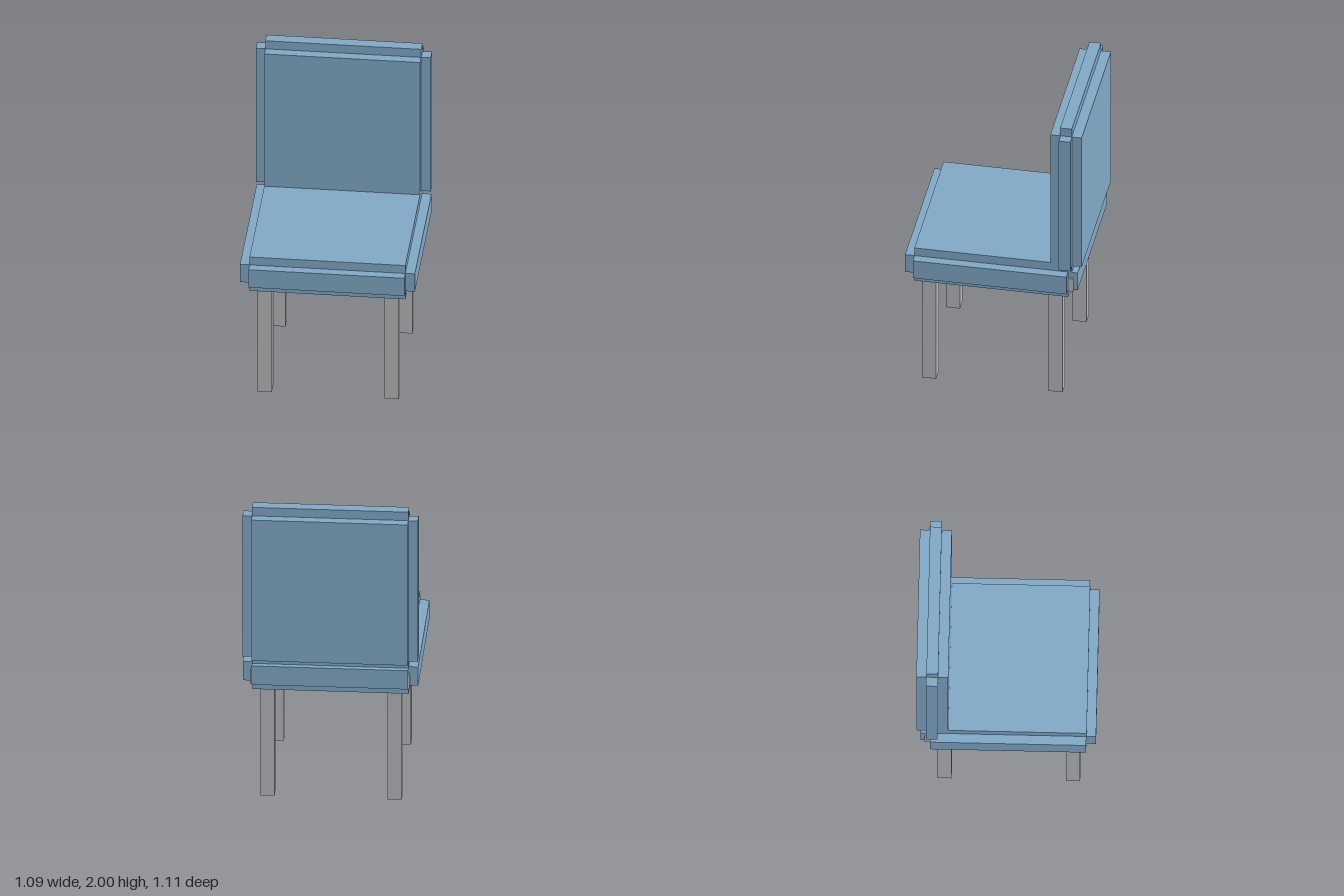
import * as THREE from 'three';

export function createModel() {
  const model = new THREE.Group();
  model.name = 'chair';
  const fabric = new THREE.MeshStandardMaterial({ color: 0x80a8c6 });
  fabric.name = 'blue upholstery';
  const metal = new THREE.MeshStandardMaterial({ color: 0xb8b8bc });
  metal.name = 'grey frame';

  // Box given by its lower and upper limits on each axis
  function block(name, parent, material, [x0, x1], [y0, y1], [z0, z1]) {
    const mesh = new THREE.Mesh(new THREE.BoxGeometry(x1 - x0, y1 - y0, z1 - z0), material);
    mesh.position.set((x0 + x1) / 2, (y0 + y1) / 2, (z0 + z1) / 2);
    mesh.name = name;
    parent.add(mesh);
  }
  function part(name) {
    const group = new THREE.Group();
    group.name = name;
    model.add(group);
    return group;
  }
  const inner = [-0.484, 0.484];
  const outer = [-0.543, 0.543];

  // Seat cushion: three crossing slabs give the stepped edges
  const seat = part('seat');
  block('seatCore', seat, fabric, inner, [0.747, 0.99], [-0.47, 0.497]);
  block('seatSides', seat, fabric, outer, [0.805, 0.933], [-0.47, 0.495]);
  block('seatFrontAndBack', seat, fabric, inner, [0.805, 0.933], [-0.53, 0.555]);

  // Backrest, built the same way; its core runs down into the seat
  const backrest = part('backrest');
  block('backrestPadding', backrest, fabric, inner, [0.98, 1.942], [-0.555, -0.358]);
  block('backrestSides', backrest, fabric, outer, [0.98, 1.942], [-0.495, -0.422]);
  block('backrestCore', backrest, fabric, inner, [0.89, 2], [-0.493, -0.42]);

  // Rear crossbar and four square legs
  const frame = part('frame');
  block('rearCrossbar', frame, metal, [-0.493, 0.493], [0.797, 0.89], [-0.505, -0.41]);
  const h = 0.044;
  for (const x of [-0.394, 0.394]) {
    for (const z of [0.412, -0.382]) {
      block(z > 0 ? 'frontLeg' : 'backLeg', frame, metal, [x - h, x + h], [0, 0.76], [z - h, z + h]);
    }
  }
  return model;
}
